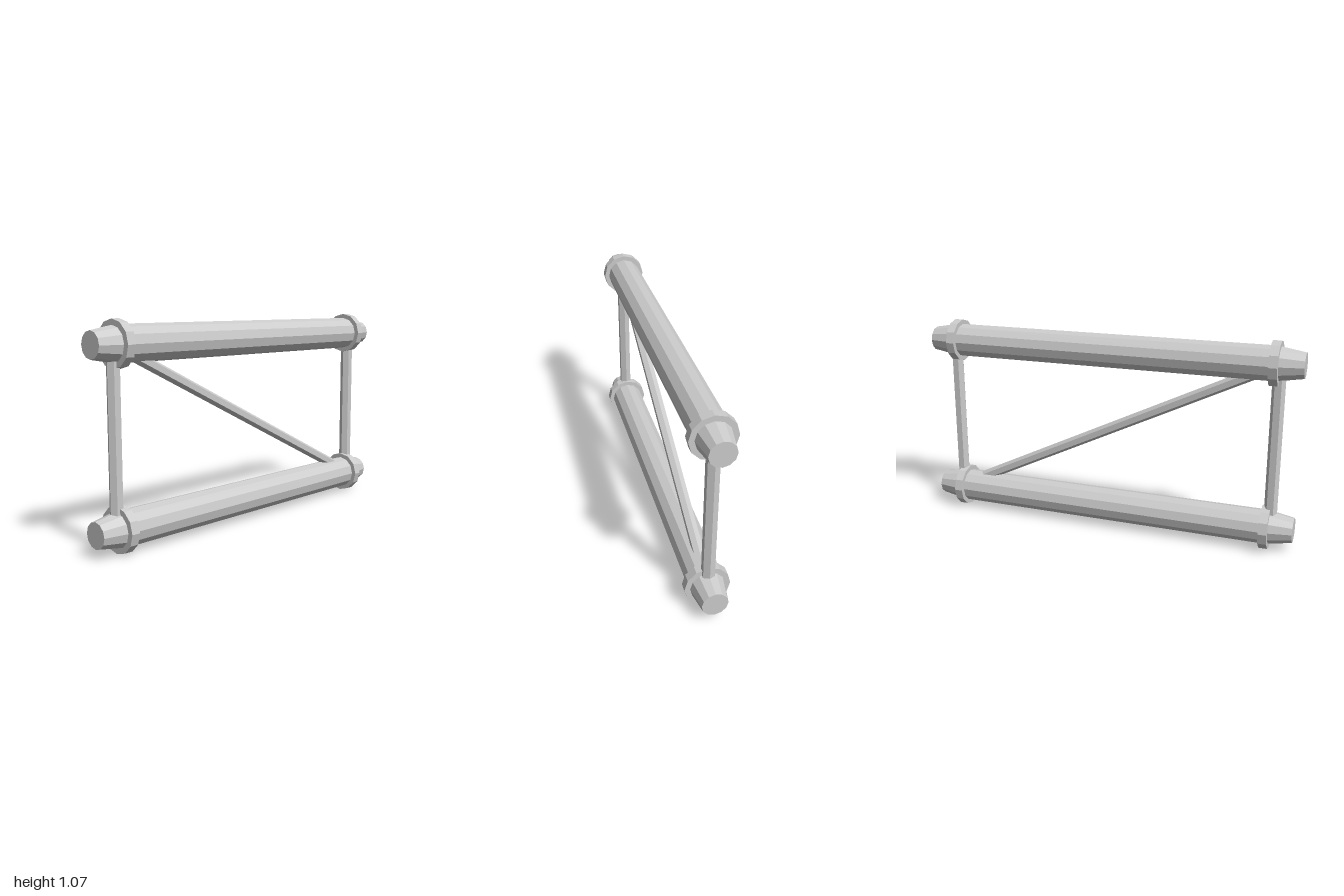
import * as THREE from 'three';

export function createModel() {
  const group = new THREE.Group();
  const material = new THREE.MeshStandardMaterial({ color: 0xcccccc, flatShading: true });
  const LOW = 0.112, HIGH = 0.958, POST_X = 0.88;

  function add(name, geometry, x, y) {
    const mesh = new THREE.Mesh(geometry, material);
    mesh.name = name;
    mesh.position.set(x, y, 0);
    group.add(mesh);
    return mesh;
  }

  // Cylinder lying along x, given its radii at the -x and +x ends
  const alongX = (rLeft, rRight, length) =>
    new THREE.CylinderGeometry(rRight, rLeft, length, 12).rotateZ(-Math.PI / 2);

  // Hexagonal bar between two points in the xy plane, one corner in that plane
  function bar(name, x1, y1, x2, y2, radius) {
    const length = Math.hypot(x2 - x1, y2 - y1);
    const geometry = new THREE.CylinderGeometry(radius, radius, length, 6).rotateY(Math.PI / 2);
    const mesh = add(name, geometry, (x1 + x2) / 2, (y1 + y2) / 2);
    mesh.rotation.z = Math.atan2(y2 - y1, x2 - x1) - Math.PI / 2;
  }

  // Two main chords, each with a collar and tapered end on both sides
  for (const [label, y] of [['lower', LOW], ['upper', HIGH]]) {
    add(label + 'Chord', alongX(0.088, 0.088, 1.72), 0, y);
    for (const side of [-1, 1]) {
      const suffix = side > 0 ? 'Left' : 'Right';
      add(label + 'Collar' + suffix, alongX(0.112, 0.112, 0.044), side * 0.86, y);
      const taper = side > 0 ? alongX(0.088, 0.064, 0.14) : alongX(0.064, 0.088, 0.14);
      add(label + 'TaperedEnd' + suffix, taper, side * 0.93, y);
    }
  }

  // Upright posts and the diagonal brace
  bar('postLeft', POST_X, LOW, POST_X, HIGH, 0.033);
  bar('postRight', -POST_X, LOW, -POST_X, HIGH, 0.033);
  bar('diagonalBrace', POST_X, LOW, -POST_X, HIGH, 0.029);

  return group;
}
